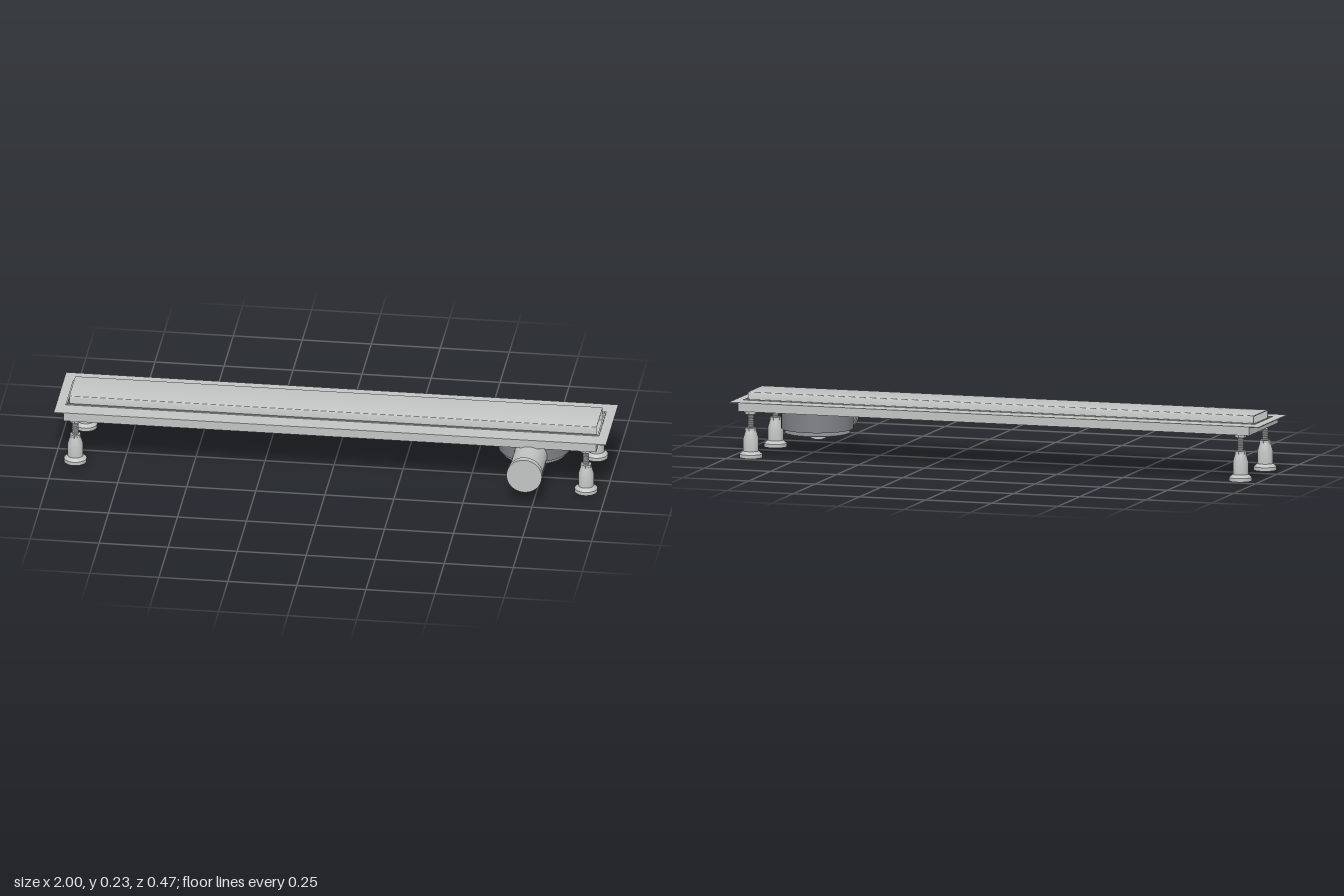
import * as THREE from 'three';
import { toCreasedNormals } from 'three/addons/utils/BufferGeometryUtils.js';

const steel = new THREE.MeshStandardMaterial({ color: 0xc2c4c3 });
steel.name = 'steel';
const darkPlastic = new THREE.MeshStandardMaterial({ color: 0x7f8184 });
darkPlastic.name = 'dark plastic';

const BACK = -0.217, FRONT = 0.115, MID = -0.051; // depth of the channel
const BODY = 0.965;                               // half length of the skirt
const DRAIN_X = 0.72;

export function createModel() {
  const model = new THREE.Group();

  function add(name, geometry, material, parent = model) {
    const mesh = new THREE.Mesh(geometry, material);
    mesh.name = name;
    parent.add(mesh);
    return mesh;
  }
  const box = (x0, x1, y0, y1, z0, z1) =>
    new THREE.BoxGeometry(x1 - x0, y1 - y0, z1 - z0)
      .translate((x0 + x1) / 2, (y0 + y1) / 2, (z0 + z1) / 2);
  const lathe = (pts, segments = 40) => toCreasedNormals(
    new THREE.LatheGeometry(pts.map(([r, y]) => new THREE.Vector2(r, y)), segments), 0.5);

  // Horizontal sheets, drawn in x and -z
  function rect(Type, x, z0, z1) {
    const s = new Type();
    s.moveTo(-x, -z1); s.lineTo(x, -z1); s.lineTo(x, -z0); s.lineTo(-x, -z0);
    s.closePath();
    return s;
  }
  const circle = (x, z, r) => new THREE.Path().absarc(x, -z, r, 0, Math.PI * 2);
  function sheet(shape, holes, y0, y1) {
    shape.holes.push(...holes);
    return new THREE.ExtrudeGeometry(shape, { depth: y1 - y0, bevelEnabled: false, curveSegments: 24 })
      .rotateX(-Math.PI / 2).translate(0, y0, 0);
  }

  // Flange with the long slot, and the raised rim around the slot
  const slot = () => rect(THREE.Path, 0.96, -0.144, 0.042);
  add('flange', sheet(rect(THREE.Shape, 1, BACK, FRONT), [slot()], 0.197, 0.2), steel);
  add('slotRim', sheet(rect(THREE.Shape, 0.966, -0.15, 0.048), [slot()], 0.2, 0.203), steel);

  // Skirt walls and tray floor with outlet openings
  const t = 0.003;
  add('frontSkirt', box(-BODY, BODY, 0.168, 0.197, FRONT - t, FRONT), steel);
  add('backSkirt', box(-BODY, BODY, 0.168, 0.197, BACK, BACK + t), steel);
  for (const s of [-1, 1]) {
    const wall = box(-t / 2, t / 2, 0.168, 0.197, BACK + t, FRONT - t);
    add('endSkirt', wall.translate(s * (BODY - t / 2), 0, 0), steel);
  }
  add('trayFloor', sheet(rect(THREE.Shape, BODY - t, BACK + t, FRONT - t),
    [circle(0, MID, 0.094), circle(DRAIN_X, MID, 0.08)], 0.174, 0.177), steel);

  // Cover: a folded sheet open at both ends
  const a = 0.083, top = 0.228, low = 0.177, r = 0.005, w = 0.003;
  const u = new THREE.Shape();
  u.moveTo(-a, low);
  u.lineTo(-a, top - r); u.quadraticCurveTo(-a, top, -a + r, top);
  u.lineTo(a - r, top); u.quadraticCurveTo(a, top, a, top - r);
  u.lineTo(a, low); u.lineTo(a - w, low); u.lineTo(a - w, top - w);
  u.lineTo(-a + w, top - w); u.lineTo(-a + w, low);
  u.closePath();
  const cover = new THREE.ExtrudeGeometry(u, { depth: 1.91, bevelEnabled: false, curveSegments: 4 });
  cover.translate(0, 0, -0.955).rotateY(Math.PI / 2).translate(0, 0, MID);
  add('cover', toCreasedNormals(cover, 0.6), steel);

  // Siphon: drum with a flared base
  const siphon = new THREE.Group();
  siphon.name = 'siphon';
  siphon.position.set(DRAIN_X, 0, MID);
  model.add(siphon);
  add('drum', lathe([[0, 0.096], [0.13, 0.096], [0.13, 0.165], [0.122, 0.165],
    [0.122, 0.174], [0, 0.174]], 64), darkPlastic, siphon);
  add('flaredBase', lathe([[0, 0.08], [0.118, 0.08], [0.118, 0.082], [0.075, 0.097]], 64),
    darkPlastic, siphon);

  // Outlet pipe running to the front, with a collar at its mouth
  function pipe(name, radius, z0, z1) {
    const g = new THREE.CylinderGeometry(radius, radius, z1 - z0, 48)
      .rotateX(Math.PI / 2).translate(DRAIN_X, 0.114, (z0 + z1) / 2);
    add(name, g, steel);
  }
  pipe('outletPipe', 0.06, -0.05, 0.212);
  pipe('pipeCollar', 0.064, 0.211, 0.235);

  // Adjustable feet
  const footGeo = lathe([[0, 0.03], [0.02, 0.03], [0.028, 0], [0.041, 0], [0.041, 0.013],
    [0.028, 0.024], [0.028, 0.07], [0.019, 0.1], [0, 0.1]]);
  const thread = [[0.009, 0.106]];
  for (let i = 0; i < 8; i++) {
    const y = 0.107 + i * 0.0065;
    thread.push([0.0115, y + 0.002], [0.0115, y + 0.004], [0.009, y + 0.0065]);
  }
  thread.push([0.009, 0.175]);
  const studGeo = lathe(thread, 20);
  const nutGeo = new THREE.CylinderGeometry(0.021, 0.021, 0.011, 6).toNonIndexed();
  nutGeo.computeVertexNormals();
  for (const x of [-0.925, 0.925]) {
    for (const z of [-0.192, 0.091]) {
      const foot = new THREE.Group();
      foot.name = 'foot';
      foot.position.set(x, 0, z);
      model.add(foot);
      add('footBase', footGeo, steel, foot);
      add('threadedStud', studGeo, steel, foot);
      add('lockNut', nutGeo, steel, foot).position.y = 0.103;
      add('topNut', nutGeo, steel, foot).position.y = 0.163;
    }
  }
  return model;
}
